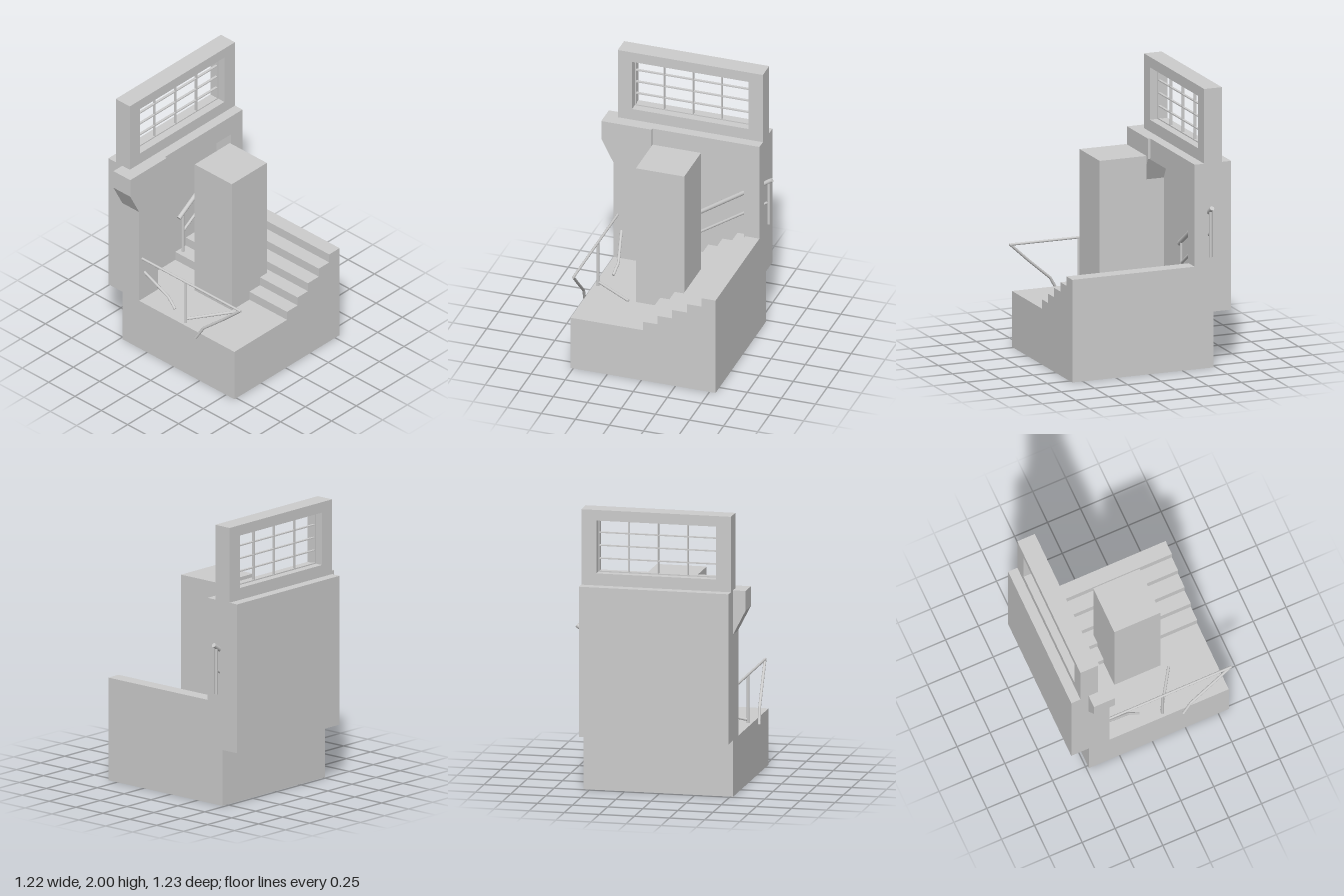
import * as THREE from 'three';

export function createModel() {
  const model = new THREE.Group();
  const stone = new THREE.MeshStandardMaterial({ color: 0xcccccc });
  stone.name = 'pale grey';

  const add = (name, geometry, parent = model) => {
    const mesh = new THREE.Mesh(geometry, stone);
    mesh.name = name;
    parent.add(mesh);
    return mesh;
  };
  const group = (name) => {
    const g = new THREE.Group();
    g.name = name;
    model.add(g);
    return g;
  };
  // Box given by its limits on each axis
  const box = (name, [x0, x1], [y0, y1], [z0, z1], parent) =>
    add(name, new THREE.BoxGeometry(x1 - x0, y1 - y0, z1 - z0), parent)
      .position.set((x0 + x1) / 2, (y0 + y1) / 2, (z0 + z1) / 2);
  // Front outline pushed through from z0 to z1
  const outline = (points) => points.map(([x, y]) => new THREE.Vector2(x, y));
  const prism = (name, points, z0, z1, hole) => {
    const shape = new THREE.Shape(outline(points));
    if (hole) shape.holes.push(new THREE.Path(outline(hole)));
    const geometry = new THREE.ExtrudeGeometry(shape, { depth: z1 - z0, bevelEnabled: false });
    add(name, geometry.translate(0, 0, z0));
  };
  const rect = (x0, x1, y0, y1) => [[x0, y0], [x1, y0], [x1, y1], [x0, y1]];
  // Round bar through a few points, one cylinder per leg with ball joints
  const bar = (name, points, radius, parent) => {
    const p = points.map((v) => new THREE.Vector3(...v));
    for (let i = 1; i < p.length; i++) {
      const dir = p[i].clone().sub(p[i - 1]);
      const mesh = add(name, new THREE.CylinderGeometry(radius, radius, dir.length(), 12), parent);
      mesh.position.copy(p[i]).add(p[i - 1]).multiplyScalar(0.5);
      mesh.quaternion.setFromUnitVectors(new THREE.Vector3(0, 1, 0), dir.normalize());
      if (i < p.length - 1) add(name + 'Joint', new THREE.SphereGeometry(radius, 12, 8), parent).position.copy(p[i]);
    }
  };

  // Base with five steps rising to one side
  const steps = [[-0.52, 0], [0.545, 0], [0.545, 0.735]];
  const edges = [0.44, 0.335, 0.225, 0.12, 0.013];
  edges.forEach((x, i) => {
    steps.push([x, 0.735 - i * 0.067], [x, 0.735 - (i + 1) * 0.067]);
  });
  steps.push([-0.52, 0.4]);
  prism('steppedBase', steps, -0.482, 0.58);

  // Back wall, with a lintel and jamb round a deep recess
  box('backWall', [-0.52, 0.545], [0.4, 1.465], [-0.617, -0.482]);
  prism('recessSurround', [
    [-0.515, 1.315], [0.43, 1.315], [0.43, 0.66], [0.545, 0.66], [0.545, 1.465], [-0.515, 1.465],
  ], -0.482, -0.342);

  // Column with a spreading head
  prism('column', [
    [-0.52, 0.4], [-0.33, 0.4], [-0.33, 1.15], [-0.24, 1.32],
    [-0.24, 1.465], [-0.61, 1.465], [-0.61, 1.325], [-0.52, 1.15],
  ], -0.485, -0.325);

  // Free-standing pillar
  box('pillar', [-0.165, 0.19], [0.4, 1.465], [-0.13, 0.222]);

  // Upper wall with window opening and thin grid
  prism('upperWall', rect(-0.52, 0.545, 1.465, 2), -0.547, -0.414, rect(-0.415, 0.438, 1.55, 1.925));
  const grid = group('windowGrid');
  const z = [-0.49, -0.472];
  for (let i = 0; i <= 4; i++) {
    const x = -0.411 + i * 0.2113;
    const y = 1.554 + i * 0.0918;
    box('uprightBar', [x - 0.004, x + 0.004], [1.55, 1.925], z, grid);
    box('crossBar', [-0.415, 0.438], [y - 0.004, y + 0.004], z, grid);
  }

  // Sloping handrail above the steps, running through the jamb
  const stairRail = group('stairRail');
  const rz = -0.45;
  bar('handrail', [[0.015, 0.765, rz], [0.6, 1.155, rz]], 0.016, stairRail);
  bar('midRail', [[0.056, 0.635, rz], [0.575, 0.975, rz]], 0.01, stairRail);
  bar('railPost', [[0.056, 0.45, rz], [0.056, 0.79, rz]], 0.011, stairRail);
  bar('railPost', [[0.575, 0.8, rz], [0.575, 1.135, rz]], 0.011, stairRail);

  // Broken handrail along the open edge
  const brokenRail = group('brokenRail');
  bar('topRail', [[-0.49, 0.742, -0.33], [-0.49, 0.742, 0.613]], 0.009, brokenRail);
  bar('railPost', [[-0.49, 0.4, 0.09], [-0.49, 0.742, 0.09]], 0.01, brokenRail);
  bar('fallenBar', [[-0.49, 0.425, 0.08], [-0.205, 0.425, 0.265]], 0.01, brokenRail);
  bar('bentEndBar', [
    [-0.49, 0.742, 0.605], [-0.505, 0.61, 0.46], [-0.525, 0.465, 0.29], [-0.538, 0.36, 0.228],
  ], 0.01, brokenRail);
  bar('bentWallBar', [[-0.465, 0.62, -0.335], [-0.42, 0.47, -0.14], [-0.432, 0.41, -0.065]], 0.01, brokenRail);

  return model;
}
